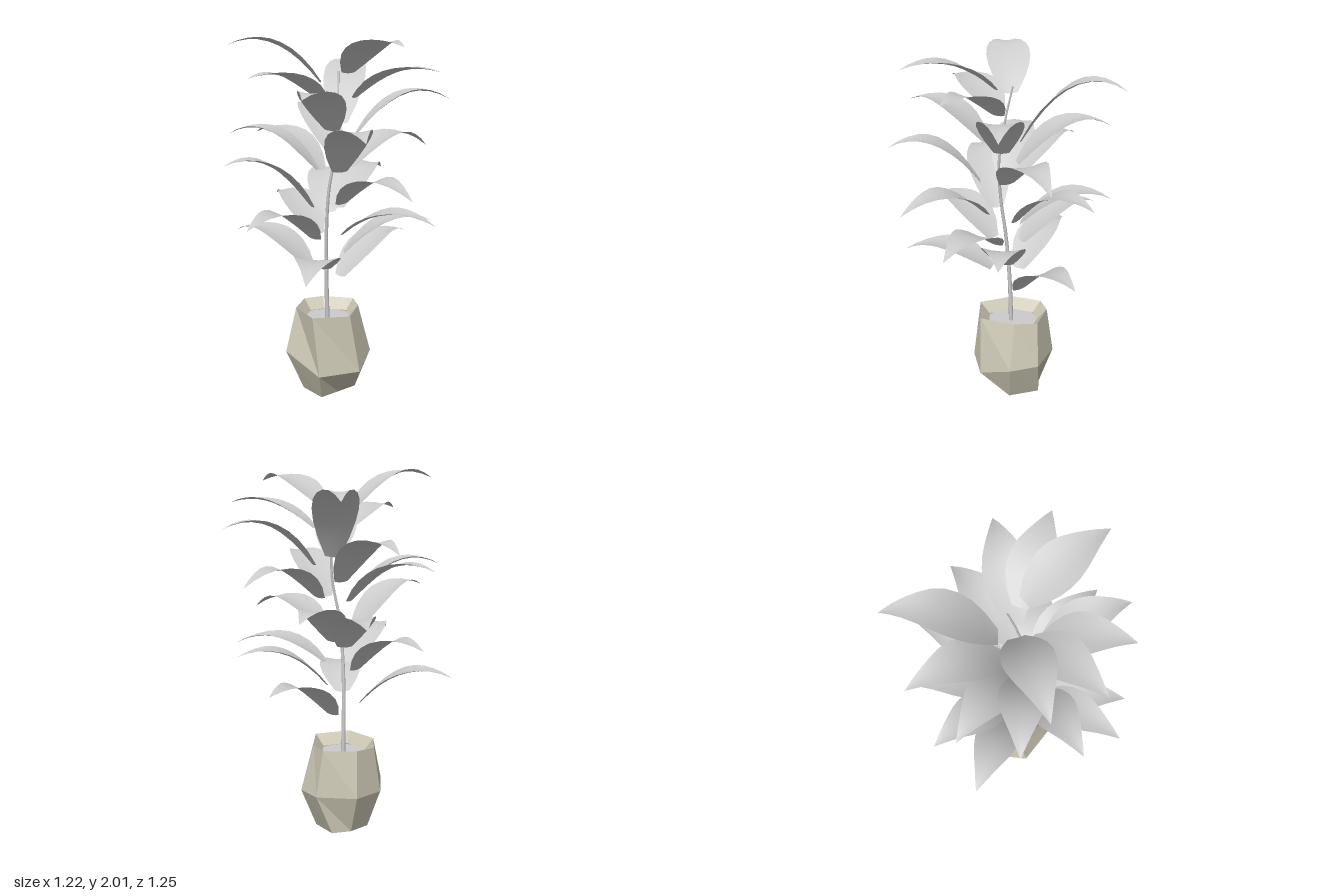
import * as THREE from 'three';

const grey = new THREE.MeshStandardMaterial({ color: 0xcccccc, side: THREE.DoubleSide });
const clay = new THREE.MeshStandardMaterial({ color: 0xcbc7b4, side: THREE.DoubleSide, flatShading: true });

// Stem centre line
const stemPath = new THREE.CatmullRomCurve3([
  [-0.06, 0.42, -0.03], [-0.065, 0.7, -0.02], [-0.065, 0.95, 0], [-0.05, 1.2, 0.03],
  [-0.01, 1.42, 0.035], [0, 1.65, 0], [0.005, 1.83, -0.04],
].map(p => new THREE.Vector3(...p)));

// Leaves: tip x, y, z, height of the inner end, and optional height of the arch
const leaves = [
  [-0.59, 1.965, 0.04, 1.77, 0.12], [0.29, 1.955, 0.5, 1.82, 0.09], [0.12, 1.83, -0.63, 1.54, 0.18],
  [0.51, 1.83, 0.27, 1.69, 0.07], [-0.47, 1.8, 0.34, 1.67, 0.08], [0.61, 1.68, -0.01, 1.49, 0.15],
  [-0.2, 1.71, 0.55, 1.52, 0.1], [-0.19, 1.575, -0.58, 1.4, 0.17], [0.1, 1.51, 0.62, 1.3, 0.14],
  [-0.6, 1.49, -0.09, 1.3, 0.13], [-0.46, 1.47, -0.38, 1.29, 0.12], [0.53, 1.4, -0.26, 1.31, 0.2],
  [-0.61, 1.35, 0.23, 1.1, 0.11], [0.29, 1.24, -0.48, 1.07, 0.14], [-0.35, 1.08, -0.51, 0.91, 0.12],
  [-0.03, 1.21, -0.58, 1.04, 0.12], [0.34, 1.21, 0.52, 1.12, 0.18], [-0.48, 1.06, 0.48, 0.92, 0.15],
  [0.5, 1.03, 0.28, 0.94, 0.14], [0.53, 1.0, 0, 0.82, 0.11], [-0.59, 0.89, -0.33, 0.72, 0.12],
  [0.43, 0.86, -0.39, 0.66, 0.1], [-0.19, 0.81, 0.61, 0.75, 0.15],
];

// Half width along a leaf: blunt inner end, pointed tip
const widths = [0.042, 0.085, 0.111, 0.121, 0.117, 0.101, 0.077, 0.051, 0.026, 0];

// Stitches rows of equal length into a surface
function loft(rows, closed) {
  const n = rows[0].length, index = [];
  const cells = closed ? n : n - 1;
  for (let i = 0; i < rows.length - 1; i++) {
    for (let j = 0; j < cells; j++) {
      const a = i * n + j, b = i * n + (j + 1) % n;
      index.push(a, b, a + n, b, b + n, a + n);
    }
  }
  const g = new THREE.BufferGeometry();
  g.setAttribute('position', new THREE.Float32BufferAttribute(rows.flat(2), 3));
  g.setIndex(index);
  g.computeVertexNormals();
  return g;
}

// Arched leaf with slightly raised edges, starting beside the stem
function leafGeometry([tx, ty, tz, by, rise]) {
  const stem = stemPath.getPoint((by - 0.42) / 1.41);
  const dir = new THREE.Vector2(tx - stem.x, tz - stem.z).normalize();
  const bx = stem.x + dir.x * 0.1, bz = stem.z + dir.y * 0.1;
  const arch = new THREE.QuadraticBezierCurve3(
    new THREE.Vector3(bx, by, bz),
    new THREE.Vector3((bx + tx) / 2, ty + rise, (bz + tz) / 2),
    new THREE.Vector3(tx, ty, tz));
  const rows = widths.map((w, i) => {
    const p = arch.getPoint(i / (widths.length - 1));
    return [-1, -0.5, 0, 0.5, 1].map(v => [
      p.x - dir.y * v * w,
      p.y + v * v * w * 0.15,
      p.z + dir.x * v * w,
    ]);
  });
  return loft(rows, false);
}

// Faceted planter: irregular rings from the foot to the inner lip
function potGeometry() {
  const foot = [[0, 0, 0.045], [0.1, 0, -0.03], [0.05, 0.01, -0.2], [-0.06, 0.01, -0.2], [-0.18, 0, -0.12], [-0.2, 0, -0.02], [-0.1, 0, 0.12]];
  const belly = [[0.115, 0.16, 0.14], [0.19, 0.22, -0.04], [0.14, 0.23, -0.2], [-0.07, 0.23, -0.28], [-0.24, 0.22, -0.17], [-0.3, 0.24, 0.01], [-0.115, 0.155, 0.2]];
  const rim = [[0.06, 0.49, 0.14], [0.12, 0.49, -0.06], [0.1, 0.49, -0.19], [-0.08, 0.49, -0.24], [-0.19, 0.49, -0.2], [-0.24, 0.49, -0.03], [-0.15, 0.49, 0.16]];
  const lip = rim.map(([x, , z]) => [-0.06 + (x + 0.06) * 0.72, 0.43, -0.04 + (z + 0.04) * 0.72]);
  const base = foot.map(() => [-0.05, 0, -0.04]);
  return loft([base, foot, belly, rim, lip], true).toNonIndexed();
}

// Tube narrowed towards its top
function stemGeometry() {
  const segments = 28, sides = 8;
  const g = new THREE.TubeGeometry(stemPath, segments, 0.013, sides);
  const pos = g.attributes.position, v = new THREE.Vector3();
  for (let i = 0; i < pos.count; i++) {
    const t = Math.floor(i / (sides + 1)) / segments;
    const c = stemPath.getPointAt(t);
    v.fromBufferAttribute(pos, i).sub(c).multiplyScalar(1 - 0.65 * t).add(c);
    pos.setXYZ(i, v.x, v.y, v.z);
  }
  return g;
}

export function createModel() {
  const plant = new THREE.Group();
  plant.name = 'pottedPlant';
  const add = (name, geometry, material, parent = plant) => {
    const mesh = new THREE.Mesh(geometry, material);
    mesh.name = name;
    parent.add(mesh);
    return mesh;
  };

  const pot = potGeometry();
  pot.computeVertexNormals();
  add('pot', pot, clay);

  const soil = add('soil', new THREE.CircleGeometry(0.15, 16), grey);
  soil.rotation.x = -Math.PI / 2;
  soil.position.set(-0.06, 0.425, -0.04);

  add('stem', stemGeometry(), grey);

  const foliage = new THREE.Group();
  foliage.name = 'foliage';
  plant.add(foliage);
  leaves.forEach((leaf, i) => add('leaf' + (i + 1), leafGeometry(leaf), grey, foliage));
  return plant;
}
